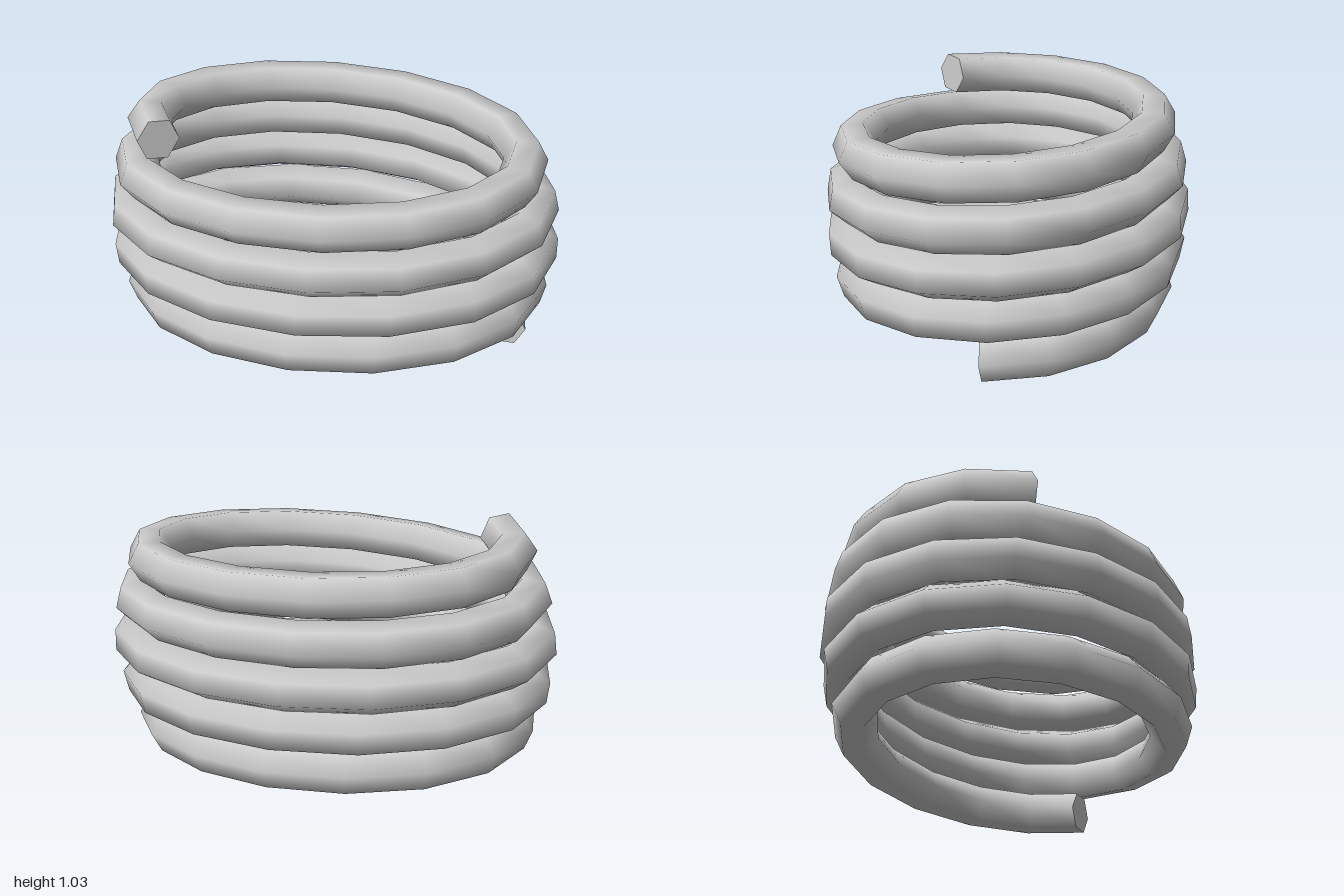
import * as THREE from 'three';

const TURNS = 4.6, SEGMENTS = 73, SIDES = 6, RADIUS = 0.095;

// Elliptical helix that swells slightly in the middle
class CoilCurve extends THREE.Curve {
  getPoint(t, target = new THREE.Vector3()) {
    const angle = t * TURNS * Math.PI * 2;
    const swell = 1 + 0.15 * Math.sin(Math.PI * t);
    return target.set(
      0.8 * swell * Math.cos(angle),
      0.083 + 0.862 * t,
      -0.616 * swell * Math.sin(angle)
    );
  }
  // Even steps in angle rather than in length
  getUtoTmapping(u) { return u; }
}

// Flat end cap, fanned over one ring of the tube
function capGeometry(tube, ring, reversed) {
  const positions = [], index = [];
  for (let j = 0; j < SIDES; j++) {
    const v = new THREE.Vector3().fromBufferAttribute(tube.attributes.position, ring * (SIDES + 1) + j);
    positions.push(v.x, v.y, v.z);
  }
  for (let j = 1; j < SIDES - 1; j++) {
    if (reversed) index.push(0, j + 1, j);
    else index.push(0, j, j + 1);
  }
  const geometry = new THREE.BufferGeometry();
  geometry.setAttribute('position', new THREE.Float32BufferAttribute(positions, 3));
  geometry.setIndex(index);
  geometry.computeVertexNormals();
  return geometry;
}

export function createModel() {
  const group = new THREE.Group();
  group.name = 'coil';
  const grey = new THREE.MeshStandardMaterial({ color: 0xcccccc });
  grey.name = 'light grey';

  const add = (name, geometry) => {
    const mesh = new THREE.Mesh(geometry, grey);
    mesh.name = name;
    group.add(mesh);
  };

  // Six-sided wound tube and its two ends
  const tube = new THREE.TubeGeometry(new CoilCurve(), SEGMENTS, RADIUS, SIDES, false);
  add('coiledTube', tube);
  add('lowerEndCap', capGeometry(tube, 0, false));
  add('upperEndCap', capGeometry(tube, SEGMENTS, true));
  return group;
}
